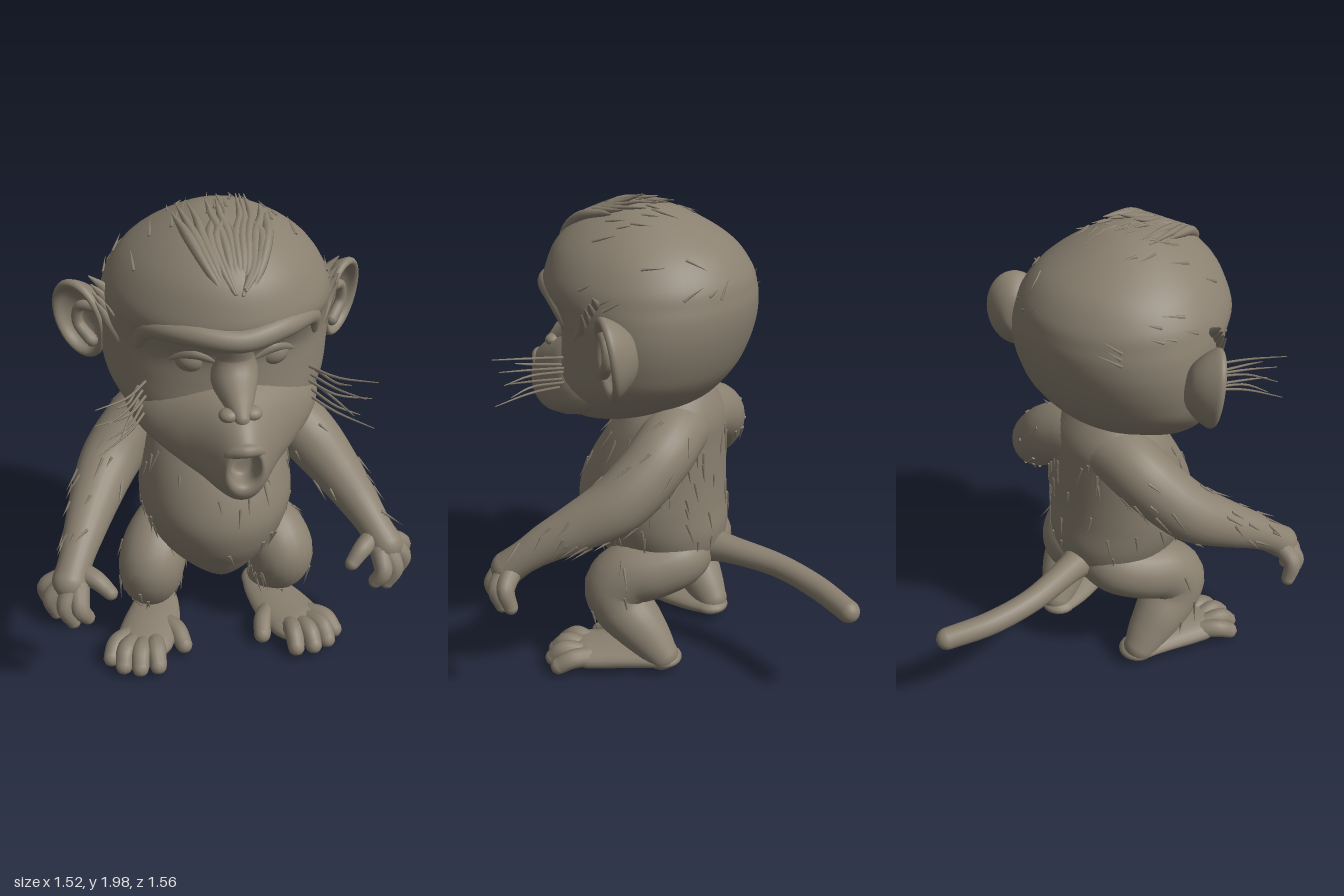
import * as THREE from 'three';
import { mergeGeometries } from 'three/addons/utils/BufferGeometryUtils.js';

const fur = new THREE.MeshStandardMaterial({ color: 0x8a8070 });
fur.name = 'taupe fur';

let seed = 7;
const rand = () => (seed = (seed * 16807) % 2147483647) / 2147483647;
const V = (x, y, z) => new THREE.Vector3(x, y, z);

// Tapered tube through [x, y, z, radius] points, with rounded ends
function limb(points, radial = 20, steps = 28) {
  const curve = new THREE.CatmullRomCurve3(points.map(p => V(p[0], p[1], p[2])));
  const radii = new THREE.CatmullRomCurve3(points.map(p => V(p[3], 0, 0)), false, 'catmullrom');
  const geo = new THREE.TubeGeometry(curve, steps, 1, radial, false);
  const pos = geo.attributes.position, v = V(0, 0, 0);
  for (let i = 0; i <= steps; i++) {
    const centre = curve.getPointAt(i / steps);
    const r = radii.getPoint(curve.getUtoTmapping(i / steps)).x;
    for (let j = 0; j <= radial; j++) {
      const k = i * (radial + 1) + j;
      v.fromBufferAttribute(pos, k).sub(centre).multiplyScalar(r).add(centre);
      pos.setXYZ(k, v.x, v.y, v.z);
    }
  }
  const ends = [points[0], points[points.length - 1]].map(p =>
    new THREE.SphereGeometry(p[3], radial, Math.max(4, radial / 2)).translate(p[0], p[1], p[2]));
  return mergeGeometries([geo, ...ends]);
}

// Smooth loft of rings [height, halfWidth, back, front], stacked along y (or z)
function loft(rows, { alongZ = false, middle = 0.45, steps = 60, sides = 48 } = {}) {
  const a = new THREE.CatmullRomCurve3(rows.map(r => V(r[0], r[1], r[2])), false, 'catmullrom');
  const b = new THREE.CatmullRomCurve3(rows.map(r => V(r[3], 0, 0)), false, 'catmullrom');
  const pos = [], idx = [];
  for (let i = 0; i <= steps; i++) {
    const { x: h, y: w, z: back } = a.getPoint(i / steps);
    const front = b.getPoint(i / steps).x, mid = back + (front - back) * middle;
    for (let j = 0; j < sides; j++) {
      const t = j / sides * Math.PI * 2, c = Math.cos(t);
      const d = mid + c * (c > 0 ? front - mid : mid - back), x = Math.max(w, 0) * Math.sin(t);
      if (alongZ) pos.push(-x, d, h); else pos.push(x, h, d);
      if (i < steps) {
        const p = i * sides + j, q = i * sides + (j + 1) % sides;
        idx.push(p, q, p + sides, q, q + sides, p + sides);
      }
    }
  }
  const geo = new THREE.BufferGeometry();
  geo.setAttribute('position', new THREE.Float32BufferAttribute(pos, 3));
  geo.setIndex(idx);
  geo.computeVertexNormals();
  return geo;
}

const blob = (x, y, z, rx, ry, rz) =>
  new THREE.SphereGeometry(1, 24, 16).scale(rx, ry, rz).translate(x, y, z);

// Thin locks of hair lying on a surface, combed along one direction
function locks(geo, count, comb, keep) {
  const pos = geo.attributes.position, nor = geo.attributes.normal, out = [];
  for (let tries = 0; out.length < count && tries < 4000; tries++) {
    const k = Math.floor(rand() * pos.count);
    const p = V(0, 0, 0).fromBufferAttribute(pos, k), n = V(0, 0, 0).fromBufferAttribute(nor, k);
    if (!keep(p)) continue;
    const dir = comb.clone().add(V(rand() - 0.5, 0, rand() - 0.5).multiplyScalar(0.6));
    dir.addScaledVector(n, -dir.dot(n));
    if (dir.length() < 0.4) continue;
    dir.normalize().addScaledVector(n, 0.06).normalize();
    const len = 0.05 + rand() * 0.07;
    const q = new THREE.Quaternion().setFromUnitVectors(V(0, 1, 0), dir);
    p.addScaledVector(dir, len * 0.4);
    out.push(new THREE.ConeGeometry(0.007, len, 5).applyQuaternion(q).translate(p.x, p.y, p.z));
  }
  return mergeGeometries(out);
}

export function createModel() {
  const model = new THREE.Group();
  model.name = 'monkey';
  const add = (name, geo) => {
    const mesh = new THREE.Mesh(geo, fur);
    mesh.name = name;
    model.add(mesh);
    return geo;
  };

  // Torso with broad shoulders and a pointed belly
  const torso = add('torso', loft([
    [0.36, 0.001, 0.22, 0.34], [0.42, 0.14, 0.0, 0.41], [0.5, 0.235, -0.09, 0.46],
    [0.6, 0.285, -0.115, 0.51], [0.72, 0.31, -0.105, 0.53], [0.85, 0.3, -0.1, 0.49],
    [1.0, 0.275, -0.1, 0.4], [1.1, 0.25, -0.1, 0.32], [1.19, 0.18, -0.07, 0.27], [1.3, 0.1, 0, 0.2]]));
  add('bodyFur', locks(torso, 70, V(0, -1, 0), p => p.y < 1.05 && p.y > 0.55));

  // Skull, with the jaw line sloping down towards the front
  const skull = loft([
    [1.14, 0.001, 0.15, 0.3], [1.15, 0.16, 0.06, 0.48], [1.2, 0.31, -0.04, 0.55],
    [1.3, 0.405, -0.13, 0.56], [1.4, 0.43, -0.18, 0.55], [1.5, 0.435, -0.21, 0.55],
    [1.58, 0.43, -0.22, 0.59], [1.64, 0.42, -0.215, 0.635], [1.71, 0.395, -0.195, 0.625],
    [1.8, 0.33, -0.13, 0.585], [1.88, 0.23, -0.01, 0.5], [1.94, 0.11, 0.12, 0.38], [1.955, 0.001, 0.22, 0.26]]);
  const sp = skull.attributes.position;
  for (let i = 0; i < sp.count; i++) {
    const low = 1 - THREE.MathUtils.smoothstep(sp.getY(i), 1.12, 1.42);
    sp.setY(i, sp.getY(i) - Math.max(sp.getZ(i) - 0.05, 0) * 0.22 * low);
  }
  skull.computeVertexNormals();
  add('skull', skull);
  add('headFur', locks(skull, 40, V(0, 0.5, -1), p => p.y > 1.6 && p.z < 0.45));

  // Muzzle flowing out of the cheeks and folding inwards to an open mouth
  add('muzzle', loft([
    [0.24, 0.37, 1.13, 1.4], [0.36, 0.36, 1.09, 1.41], [0.46, 0.315, 1.06, 1.415], [0.54, 0.245, 1.03, 1.4],
    [0.61, 0.175, 1.015, 1.375], [0.68, 0.12, 1.01, 1.34], [0.73, 0.088, 1.03, 1.3], [0.753, 0.068, 1.07, 1.27],
    [0.74, 0.05, 1.1, 1.25], [0.68, 0.043, 1.11, 1.24], [0.67, 0.001, 1.17, 1.18]],
  { alongZ: true, middle: 0.45 }));
  add('upperLip', limb([
    [-0.075, 1.19, 0.7, 0.016], [-0.045, 1.24, 0.735, 0.022], [0, 1.255, 0.755, 0.024],
    [0.045, 1.24, 0.735, 0.022], [0.075, 1.19, 0.7, 0.016]], 14, 20));
  add('nose', limb([
    [0, 1.6, 0.52, 0.08], [0, 1.5, 0.5, 0.085], [0, 1.42, 0.54, 0.085], [0, 1.36, 0.63, 0.05], [0, 1.335, 0.67, 0.03]]));

  // Low brow ridge
  add('brow', limb([
    [-0.31, 1.53, 0.4, 0.03], [-0.285, 1.61, 0.465, 0.036], [-0.16, 1.635, 0.58, 0.042], [0, 1.62, 0.63, 0.042],
    [0.16, 1.635, 0.58, 0.042], [0.285, 1.61, 0.465, 0.036], [0.31, 1.53, 0.4, 0.03]], 20, 40));

  // Crown of swept-up hair
  const crown = [];
  for (let i = 0; i < 13; i++) {
    const x = (i - 6) * 0.015, spread = Math.abs(i - 6), tip = x * 1.5 + (rand() - 0.4) * 0.1;
    crown.push(limb([
      [x * 0.3, 1.72 + rand() * 0.08, 0.6, 0.006], [x, 1.84, 0.53, 0.016], [x * 1.5, 1.91, 0.42, 0.02],
      [tip * 0.9, 1.945 - spread * 0.003, 0.33, 0.014],
      [tip, 1.995 - spread * 0.009 - rand() * 0.02, 0.14 + rand() * 0.14, 0.002]], 8, 16));
  }
  add('crownHair', mergeGeometries(crown));

  for (const s of [1, -1]) {
    const side = s > 0 ? 'left' : 'right';
    const path = pts => pts.map(([x, y, z, r]) => [x * s, y, z, r]);

    // Eyes, lids and nostrils
    add(side + 'Eye', blob(s * 0.14, 1.495, 0.475, 0.07, 0.06, 0.065));
    add(side + 'EyeLid', limb(path([
      [0.07, 1.5, 0.53, 0.016], [0.14, 1.535, 0.525, 0.026], [0.23, 1.49, 0.465, 0.016]]), 12, 16));
    add(side + 'Nostril', blob(s * 0.04, 1.342, 0.65, 0.038, 0.026, 0.035));

    // Cupped ear turned half forwards
    const cup = [[0.001, -0.1], [0.07, -0.09], [0.12, -0.05], [0.155, 0], [0.163, 0.025],
      [0.15, 0.04], [0.132, 0.03], [0.112, -0.005], [0.06, -0.04], [0.001, -0.05]];
    const ear = new THREE.LatheGeometry(
      new THREE.SplineCurve(cup.map(p => new THREE.Vector2(...p))).getPoints(40), 32);
    add(side + 'Ear', ear.rotateX(Math.PI / 2).scale(0.76, 1, 0.9)
      .rotateY(s * 0.8).rotateZ(s * -0.14).translate(s * 0.49, 1.49, 0.1));
    add(side + 'EarFold', limb(path([
      [0.445, 1.555, 0.165, 0.02], [0.5, 1.545, 0.12, 0.02], [0.51, 1.475, 0.11, 0.022], [0.465, 1.415, 0.155, 0.025]]), 10, 16));

    // Tufts beside the ears and whiskers
    const tufts = [0, 1, 2, 3].map(i => limb(path([
      [0.365, 1.5 + i * 0.03, 0.32 - i * 0.02, 0.025], [0.41, 1.56 + i * 0.03, 0.27 - i * 0.02, 0.02],
      [0.45 + i * 0.005, 1.62 + i * 0.025, 0.25 - i * 0.02, 0.003]]), 6, 8));
    add(side + 'Tufts', mergeGeometries(tufts));
    const whiskers = [];
    for (let i = 0; i < 7; i++) {
      const y = 1.26 + i * 0.02;
      whiskers.push(limb(path([
        [0.3 + (i % 3) * 0.015, y, 0.43, 0.006], [0.38, y - 0.02 + i * 0.004, 0.54, 0.005],
        [0.5 - (i % 3) * 0.04, y - 0.05 + i * 0.012, 0.63 - (i % 2) * 0.05, 0.002]]), 5, 8));
    }
    add(side + 'Whiskers', mergeGeometries(whiskers));

    // Arm, running into the shoulder blades
    const arm = add(side + 'Arm', limb(path([
      [0, 1.07, 0.04, 0.13], [0.13, 1.065, 0.035, 0.13], [0.24, 1.02, 0.035, 0.128], [0.33, 0.945, 0.07, 0.125],
      [0.42, 0.855, 0.14, 0.12], [0.5, 0.765, 0.27, 0.1], [0.56, 0.69, 0.39, 0.08], [0.6, 0.63, 0.47, 0.067],
      [0.63, 0.58, 0.53, 0.07]]), 24, 40));
    add(side + 'ArmFur', locks(arm, 24, V(s * 0.6, -0.7, 0.5), p => p.y > 0.68 && p.x * s > 0.22));

    // Curled fingers and thumb
    const fingers = [
      [[0.65, 0.58, 0.5], [0.72, 0.535, 0.485], [0.72, 0.46, 0.465]],
      [[0.66, 0.57, 0.53], [0.705, 0.515, 0.54], [0.69, 0.435, 0.53]],
      [[0.63, 0.57, 0.56], [0.655, 0.505, 0.595], [0.63, 0.43, 0.59]],
      [[0.6, 0.57, 0.56], [0.6, 0.505, 0.615], [0.575, 0.455, 0.605]],
      [[0.58, 0.6, 0.51], [0.525, 0.585, 0.555], [0.48, 0.54, 0.58]]];
    add(side + 'Fingers', mergeGeometries(fingers.map(f =>
      limb(path(f.map((p, i) => [...p, [0.042, 0.036, 0.028][i]])), 12, 14))));

    // Bent leg, running into the hips
    const leg = add(side + 'Leg', limb(path([
      [0.02, 0.5, 0.02, 0.11], [0.12, 0.49, 0.025, 0.122], [0.2, 0.465, 0.1, 0.13], [0.25, 0.44, 0.19, 0.138],
      [0.277, 0.38, 0.24, 0.138], [0.28, 0.3, 0.215, 0.128], [0.275, 0.22, 0.145, 0.112],
      [0.26, 0.14, 0.085, 0.09], [0.25, 0.08, 0.045, 0.07]]), 24, 40));
    add(side + 'LegFur', locks(leg, 20, V(0, -1, 0), p => p.y > 0.18 && p.z > 0.14));

    // Broad flat foot with spread toes
    add(side + 'Foot', limb(path([
      [0.235, 0.13, 0.045, 0.08], [0.25, 0.135, 0.13, 0.1], [0.285, 0.14, 0.25, 0.122], [0.325, 0.135, 0.345, 0.125]]))
      .scale(1, 0.45, 1));
    const toes = [
      [[0.36, 0.06, 0.3], [0.45, 0.075, 0.37], [0.48, 0.045, 0.42]],
      [[0.36, 0.06, 0.34], [0.42, 0.085, 0.43], [0.435, 0.045, 0.475]],
      [[0.33, 0.06, 0.36], [0.36, 0.085, 0.45], [0.37, 0.045, 0.5]],
      [[0.29, 0.06, 0.36], [0.295, 0.085, 0.44], [0.295, 0.045, 0.5]],
      [[0.25, 0.06, 0.24], [0.19, 0.07, 0.33], [0.17, 0.047, 0.4]]];
    add(side + 'Toes', mergeGeometries(toes.map(t =>
      limb(path(t.map((p, i) => [...p, [0.042, 0.041, 0.036][i]])), 12, 14))));
  }

  // Tail curving to the left
  add('tail', limb([
    [0, 0.52, -0.02, 0.085], [-0.005, 0.512, -0.15, 0.06], [-0.002, 0.49, -0.38, 0.05],
    [0.05, 0.465, -0.57, 0.049], [0.135, 0.445, -0.735, 0.046]], 20, 36));

  return model;
}
